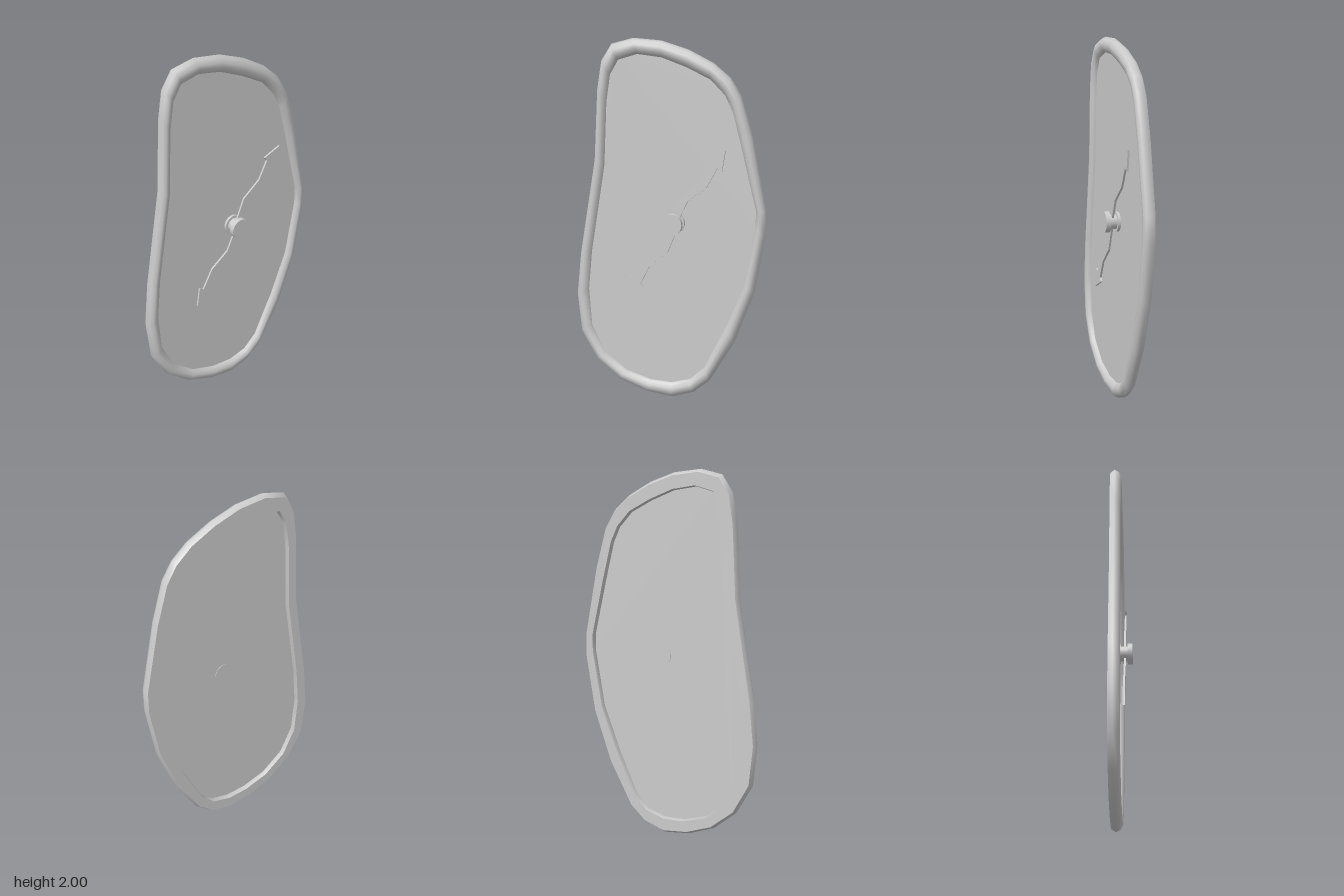
import * as THREE from 'three';

const material = new THREE.MeshStandardMaterial({ color: 0xcccccc });

// Matching outer and inner rim outlines, clockwise from the top
const outer = [
  [-0.2, 2], [-0.04, 1.985], [0.11, 1.937], [0.247, 1.867], [0.338, 1.792], [0.398, 1.7],
  [0.463, 1.485], [0.541, 1.09], [0.541, 0.955], [0.487, 0.648], [0.38, 0.357], [0.237, 0.118],
  [0.145, 0.043], [0.02, 0.003], [-0.135, 0.022], [-0.29, 0.08], [-0.425, 0.187], [-0.521, 0.35],
  [-0.545, 0.565], [-0.521, 0.8], [-0.43, 1.34], [-0.41, 1.73], [-0.385, 1.88], [-0.325, 1.97],
];
const inner = [
  [-0.175, 1.91], [-0.04, 1.892], [0.1, 1.84], [0.23, 1.777], [0.31, 1.695], [0.352, 1.61],
  [0.41, 1.39], [0.484, 1.09], [0.484, 1.0], [0.426, 0.685], [0.325, 0.437], [0.209, 0.2],
  [0.13, 0.124], [0.02, 0.093], [-0.103, 0.098], [-0.246, 0.14], [-0.378, 0.24], [-0.452, 0.39],
  [-0.468, 0.6], [-0.447, 0.823], [-0.368, 1.304], [-0.352, 1.654], [-0.33, 1.8], [-0.283, 1.88],
];
// Rim cross-section: fraction from inner to outer edge, and z (the back corners are doubled to stay sharp)
const section = [
  [0.82, -0.06], [1, -0.035], [0.87, -0.012], [0.62, 0], [0.38, 0], [0.13, -0.012], [0, -0.035],
  [0.06, -0.06], [0.06, -0.06], [0.82, -0.06],
];

const between = (i, t) => [0, 1].map(k => inner[i][k] + (outer[i][k] - inner[i][k]) * t);

function rimGeometry() {
  const pos = [], index = [], n = outer.length, m = section.length;
  for (let i = 0; i < n; i++) {
    for (const [t, z] of section) pos.push(...between(i, t), z);
    for (let j = 0; j < m - 1; j++) {
      const a = i * m + j, b = a + 1;
      const c = ((i + 1) % n) * m + j, d = c + 1;
      index.push(a, b, c, b, d, c);
    }
  }
  const g = new THREE.BufferGeometry();
  g.setAttribute('position', new THREE.Float32BufferAttribute(pos, 3));
  g.setIndex(index);
  g.computeVertexNormals();
  return g;
}

function slab(points, z0, z1) {
  const shape = new THREE.Shape(points.map(p => new THREE.Vector2(...p)));
  return new THREE.ExtrudeGeometry(shape, { depth: z1 - z0, bevelEnabled: false }).translate(0, 0, z0);
}

function disc(radius, z0, z1) {
  return new THREE.CylinderGeometry(radius, radius, z1 - z0, 32)
    .rotateX(Math.PI / 2).translate(0, 0, (z0 + z1) / 2);
}

export function createModel() {
  const group = new THREE.Group();
  const add = (name, geometry, parent = group) => {
    const mesh = new THREE.Mesh(geometry, material);
    mesh.name = name;
    parent.add(mesh);
    return mesh;
  };

  // Thin dial plate set halfway into the rim, recessed from front and back
  add('rim', rimGeometry());
  add('dialPlate', slab(outer.map((_, i) => between(i, 0.4)), -0.033, -0.027));

  // Flange, spindle, knob and the two zigzag arrow hands
  const movement = new THREE.Group();
  movement.name = 'movement';
  movement.position.set(0.039, 1.003, 0);
  group.add(movement);
  add('flange', disc(0.055, -0.036, -0.012), movement);
  add('spindle', disc(0.041, -0.012, 0.027), movement);
  add('knob', disc(0.058, 0.027, 0.055), movement);
  const hand = [
    [-0.02, 0], [0.005, 0.06], [0.045, 0.155], [0.15, 0.24], [0.202, 0.34], [0.185, 0.36],
    [0.287, 0.405], [0.27, 0.297], [0.245, 0.312], [0.185, 0.205], [0.08, 0.125], [0.02, 0],
  ];
  ['upperHand', 'lowerHand'].forEach((name, i) => {
    const mesh = add(name, slab(hand, 0.006, 0.017), movement);
    mesh.rotation.z = i * Math.PI;
    mesh.position.set(i * 0.013, i * -0.006, 0);
  });

  return group;
}
